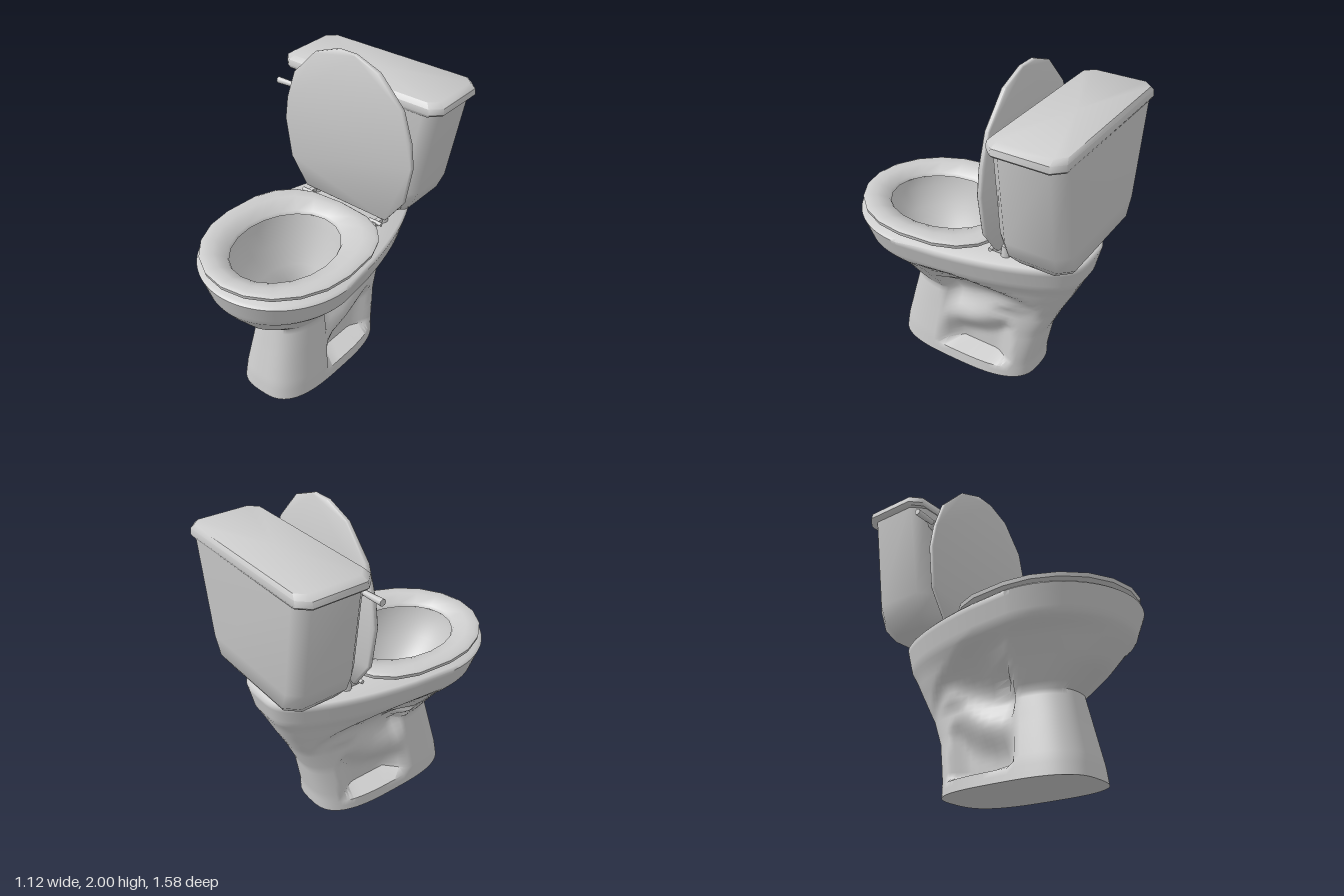
import * as THREE from 'three';
import { toCreasedNormals } from 'three/addons/utils/BufferGeometryUtils.js';

const material = new THREE.MeshStandardMaterial({ color: 0xcccccc, side: THREE.DoubleSide });

function addMesh(parent, name, geometry) {
  const mesh = new THREE.Mesh(geometry, material);
  mesh.name = name;
  parent.add(mesh);
  return mesh;
}

// Skin a list of rings; each ring runs counter-clockwise seen from above
function loft(rings, { caps = true, crease = 1.1 } = {}) {
  const n = rings[0].length, pos = [], idx = [];
  rings.forEach(r => r.forEach(p => pos.push(...p)));
  for (let i = 0; i < rings.length - 1; i++) {
    for (let j = 0; j < n; j++) {
      const k = (j + 1) % n, a = i * n + j, b = i * n + k;
      idx.push(a, b, b + n, a, b + n, a + n);
    }
  }
  const cap = (i, up) => {
    const c = pos.length / 3;
    pos.push(...[0, 1, 2].map(d => rings[i].reduce((s, p) => s + p[d], 0) / n));
    for (let j = 0; j < n; j++) {
      const a = i * n + j, b = i * n + (j + 1) % n;
      idx.push(c, up ? a : b, up ? b : a);
    }
  };
  if (caps) {
    cap(0, false);
    cap(rings.length - 1, true);
  }
  const g = new THREE.BufferGeometry();
  g.setAttribute('position', new THREE.Float32BufferAttribute(pos, 3));
  g.setIndex(idx);
  return toCreasedNormals(g, crease);
}

// Egg-shaped ring: half width w, front and back ends, widest at zc,
// squareness of the front and rear halves, narrowing towards the rear
function eggRing([y, w, front, back, zc, eFront, eRear, taper], n) {
  return Array.from({ length: n }, (_, j) => {
    const t = j / n * Math.PI * 2, s = Math.sin(t), c = Math.cos(t);
    const e = c > 0 ? eFront : eRear;
    const bow = v => Math.sign(v) * Math.abs(v) ** (2 / e);
    const f = bow(c);
    const narrow = 1 - taper * Math.max(0, -f) ** 1.5;
    return [w * bow(s) * narrow, y, zc + (c > 0 ? front - zc : zc - back) * f];
  });
}

// Rectangle ring with cut corners
function boxRing(y, w, front, back, cut) {
  const x = w - cut, f = front - cut, b = back + cut;
  return [[-x, y, front], [x, y, front], [w, y, f], [w, y, b],
    [x, y, back], [-x, y, back], [-w, y, b], [-w, y, f]];
}

// Centre line of the trapway on the side, as [z, y]
const trap = [[0.12, 0.3], [-0.08, 0.36], [-0.3, 0.48], [-0.4, 0.38], [-0.36, 0.1]];

function trapDistance(z, y) {
  let best = 9;
  for (let i = 0; i < trap.length - 1; i++) {
    const [az, ay] = trap[i], dz = trap[i + 1][0] - az, dy = trap[i + 1][1] - ay;
    const t = THREE.MathUtils.clamp(((z - az) * dz + (y - ay) * dy) / (dz * dz + dy * dy), 0, 1);
    best = Math.min(best, Math.hypot(z - az - t * dz, y - ay - t * dy));
  }
  return best;
}

// Hollow the rear sides, leaving the trapway standing out
function recess([x, y, z]) {
  if (y < 0.075 || y > 0.795) return [x, y, z];
  const bulge = THREE.MathUtils.smoothstep(0.18 - trapDistance(z, y), 0, 0.18);
  const limit = 0.12 + 0.08 * bulge + 1.8 * Math.max(0, y - 0.4) ** 2;
  const amount = 1 - THREE.MathUtils.smoothstep(z, 0.09, 0.15);
  const w = Math.abs(x), hollow = Math.min(w, limit);
  return [Math.sign(x) * (w + (hollow - w) * amount), y, z];
}

function bowlGeometry() {
  const n = 96;
  // y, half width, front, back, widest z, front and rear squareness, taper
  const outer = [
    [0, 0.26, 0.53, -0.44, 0.05, 3, 3, 0],
    [0.07, 0.253, 0.52, -0.443, 0.05, 3, 3, 0],
    [0.1, 0.25, 0.515, -0.445, 0.05, 3, 3, 0],
    [0.33, 0.218, 0.46, -0.49, 0.05, 2.9, 3, 0],
    [0.49, 0.2, 0.425, -0.56, 0.05, 2.6, 3, 0],
    [0.62, 0.285, 0.6, -0.625, 0.12, 2.2, 3.2, 0.2],
    [0.74, 0.375, 0.7, -0.68, 0.2, 2, 3.6, 0.35],
    [0.79, 0.425, 0.735, -0.705, 0.25, 2, 4, 0.42],
    [0.81, 0.44, 0.745, -0.715, 0.26, 2, 4, 0.42],
    [0.95, 0.485, 0.79, -0.745, 0.28, 2, 4, 0.42],
    [0.965, 0.47, 0.77, -0.73, 0.28, 2, 4, 0.42],
  ];
  const inner = [
    [0.965, 0.31, 0.63, -0.11, 0.27, 2, 2, 0],
    [0.9, 0.3, 0.62, -0.09, 0.27, 2, 2, 0],
    [0.78, 0.26, 0.56, -0.06, 0.24, 2, 2, 0],
    [0.65, 0.19, 0.45, -0.01, 0.2, 2, 2, 0],
    [0.54, 0.11, 0.27, 0.03, 0.14, 2, 2, 0],
    [0.45, 0.08, 0.17, 0.04, 0.1, 2, 2, 0],
  ];
  const rings = [];
  outer.forEach((a, i) => {
    const b = outer[i + 1];
    const steps = b ? Math.max(1, Math.round((b[0] - a[0]) / 0.03)) : 1;
    for (let s = 0; s < steps; s++) {
      const row = b ? a.map((v, k) => v + (b[k] - v) * s / steps) : a;
      rings.push(eggRing(row, n).map(recess));
    }
  });
  inner.forEach(row => rings.push(eggRing(row, n)));
  return loft(rings);
}

function seatGeometry() {
  const rows = [
    [0.975, 0.29, 0.62, -0.1, 0.26, 2, 2, 0],
    [0.988, 0.43, 0.74, -0.22, 0.26, 2, 2.8, 0],
    [0.995, 0.465, 0.775, -0.25, 0.26, 2, 2.8, 0],
    [1.018, 0.47, 0.78, -0.255, 0.26, 2, 2.8, 0],
    [1.03, 0.445, 0.755, -0.24, 0.26, 2, 2.8, 0],
    [1.025, 0.39, 0.7, -0.19, 0.26, 2, 2.5, 0],
    [0.995, 0.3, 0.63, -0.11, 0.26, 2, 2, 0],
    [0.975, 0.29, 0.62, -0.1, 0.26, 2, 2, 0],
  ];
  return loft(rows.map(r => eggRing(r, 20)), { caps: false });
}

function lidGeometry() {
  const half = [[0.3, 0.01], [0.42, 0.18], [0.46, 0.43], [0.44, 0.58],
    [0.38, 0.76], [0.22, 0.93], [0.06, 0.99]];
  const points = [...half, ...half.slice().reverse().map(([x, y]) => [-x, y])];
  const shape = new THREE.Shape(points.map(([x, y]) => new THREE.Vector2(x, y)));
  const g = new THREE.ExtrudeGeometry(shape, {
    depth: 0.018, bevelEnabled: true, bevelSize: 0.007, bevelThickness: 0.007, bevelSegments: 1,
  });
  return toCreasedNormals(g, 0.8);
}

export function createModel() {
  const model = new THREE.Group();
  model.name = 'toilet';

  // Bowl with pedestal, seat and raised lid
  addMesh(model, 'bowlAndPedestal', bowlGeometry());
  addMesh(model, 'seat', seatGeometry());
  const lid = addMesh(model, 'lid', lidGeometry());
  lid.position.set(0, 1.003, -0.305);
  lid.rotation.x = 0.022;

  // Tank, its cover and the block it rests on
  addMesh(model, 'tank', loft([
    boxRing(1.005, 0.33, -0.39, -0.74, 0.07),
    boxRing(1.07, 0.385, -0.35, -0.78, 0.07),
    boxRing(1.18, 0.43, -0.35, -0.783, 0.07),
    boxRing(1.75, 0.525, -0.355, -0.78, 0.07),
  ]));
  addMesh(model, 'tankCover', loft([
    boxRing(1.735, 0.545, -0.35, -0.78, 0.06),
    boxRing(1.75, 0.56, -0.345, -0.787, 0.06),
    boxRing(1.785, 0.555, -0.347, -0.785, 0.06),
    boxRing(1.81, 0.52, -0.37, -0.775, 0.05),
  ], { crease: 0.8 }));
  addMesh(model, 'tankSupport', loft([
    boxRing(0.94, 0.24, -0.38, -0.68, 0.06),
    boxRing(1.02, 0.22, -0.4, -0.66, 0.06),
  ]));

  // Hinges on both sides
  for (const side of [-1, 1]) {
    const hinge = new THREE.Group();
    hinge.name = side > 0 ? 'leftHinge' : 'rightHinge';
    const pin = addMesh(hinge, 'hingePin', new THREE.CylinderGeometry(0.012, 0.012, 0.09, 8));
    pin.rotation.z = Math.PI / 2;
    pin.position.set(side * 0.26, 0.995, -0.25);
    addMesh(hinge, 'hingeArm', new THREE.BoxGeometry(0.03, 0.025, 0.13))
      .position.set(side * 0.26, 0.985, -0.3);
    addMesh(hinge, 'hingeCap', new THREE.CylinderGeometry(0.025, 0.032, 0.07, 8))
      .position.set(side * 0.26, 0.995, -0.33);
    model.add(hinge);
  }

  // Flush handle
  const handle = new THREE.Group();
  handle.name = 'flushHandle';
  const stem = addMesh(handle, 'handleStem', new THREE.CylinderGeometry(0.018, 0.035, 0.05, 8));
  stem.rotation.x = Math.PI / 2;
  stem.position.set(-0.4, 1.64, -0.335);
  const lever = addMesh(handle, 'handleLever', new THREE.CylinderGeometry(0.014, 0.02, 0.2, 8));
  lever.rotation.z = -Math.PI / 2;
  lever.rotation.y = 0.06;
  lever.position.set(-0.46, 1.642, -0.328);
  model.add(handle);

  return model;
}
